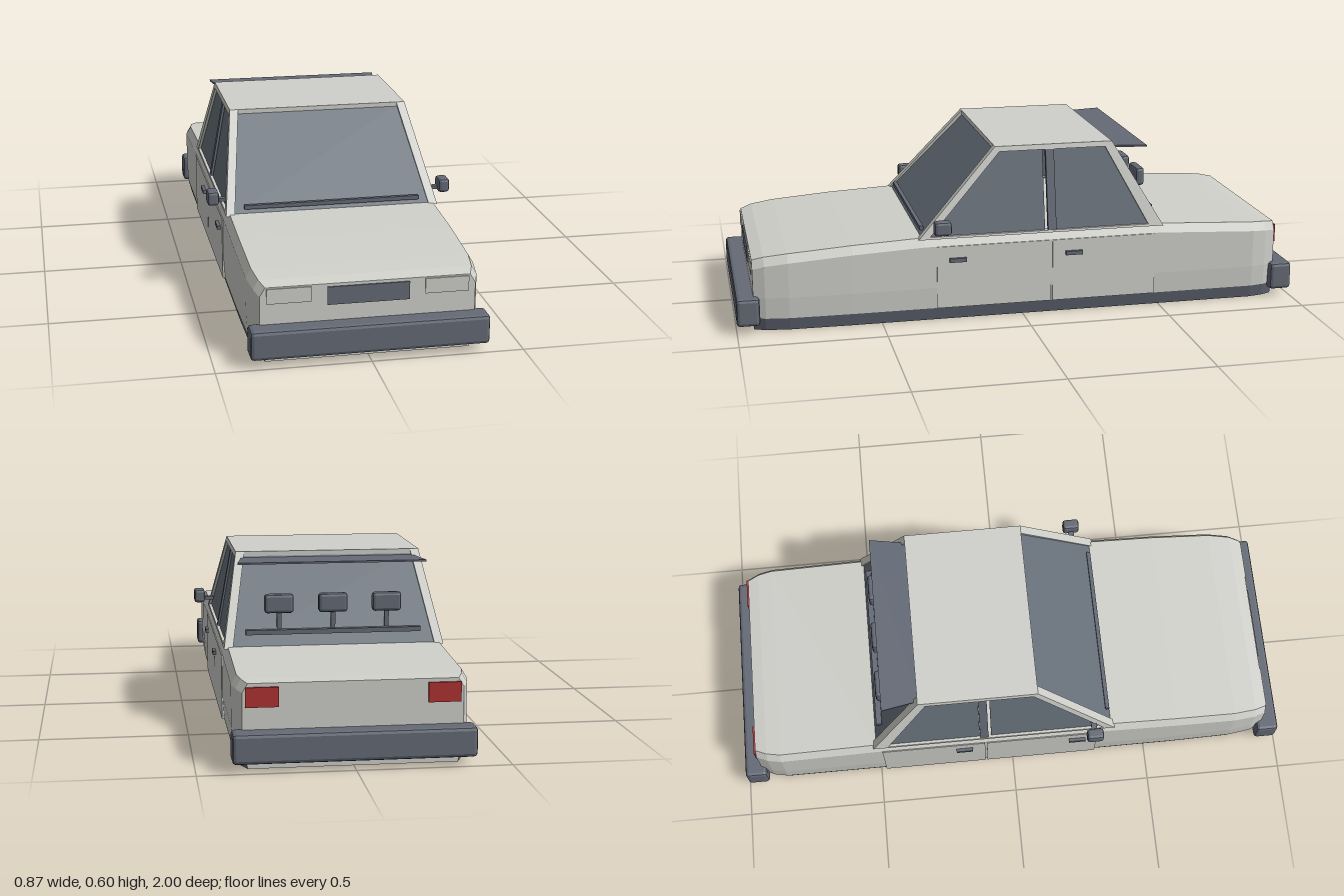
import * as THREE from 'three';
import { RoundedBoxGeometry } from 'three/addons/geometries/RoundedBoxGeometry.js';

const mat = (name, color, extra = {}) =>
  Object.assign(new THREE.MeshStandardMaterial({ color, flatShading: true, ...extra }), { name });

export function createModel() {
  const paint = mat('paint', 0xd0d0cb);
  const trim = mat('trim', 0x646a76);
  const glass = mat('glass', 0x68717b, { side: THREE.DoubleSide });
  const red = mat('tailRed', 0xb03232);
  const car = new THREE.Group();
  car.name = 'car';

  const add = (name, geo, material, x = 0, y = 0, z = 0) => {
    const m = new THREE.Mesh(geo, material);
    m.name = name;
    m.position.set(x, y, z);
    car.add(m);
    return m;
  };
  const box = (name, material, w, h, d, x, y, z) => add(name, new THREE.BoxGeometry(w, h, d), material, x, y, z);
  const chamfered = (name, material, w, h, d, x, y, z, r) =>
    add(name, new RoundedBoxGeometry(w, h, d, 1, r), material, x, y, z);
  const fromTriangles = (pts) => {
    const g = new THREE.BufferGeometry();
    g.setAttribute('position', new THREE.Float32BufferAttribute(pts.flat(), 3));
    g.computeVertexNormals();
    return g;
  };

  // Lower body: lofted stations [z, half width, top height]
  const stations = [
    [0.94, 0.35, 0.25], [0.9, 0.365, 0.262], [0.82, 0.376, 0.272], [0.6, 0.38, 0.288], [0.35, 0.38, 0.3],
    [-0.5, 0.38, 0.3], [-0.85, 0.38, 0.283], [-0.9, 0.37, 0.28], [-0.94, 0.352, 0.274],
  ];
  const rings = stations.map(([z, w, t]) => {
    const half = [[w - 0.017, 0], [w - 0.005, 0.045], [w, 0.12], [w, t - 0.03], [w - 0.018, t]];
    return [...half.map(([x, y]) => [x, y, z]), ...half.reverse().map(([x, y]) => [-x, y, z])];
  });
  const shell = [], sill = [];
  const n = rings[0].length;
  for (let i = 0; i < rings.length - 1; i++) {
    for (let j = 0; j < n; j++) {
      const k = (j + 1) % n;
      const [a, b, c, d] = [rings[i][j], rings[i][k], rings[i + 1][j], rings[i + 1][k]];
      (j === 0 || j === n - 2 ? sill : shell).push(a, c, b, b, c, d);
    }
  }
  const front = rings[0], back = rings[rings.length - 1];
  for (let j = 1; j < n - 1; j++) {
    shell.push(front[0], front[j], front[j + 1], back[0], back[j + 1], back[j]);
  }
  add('body', fromTriangles(shell), paint);
  add('sills', fromTriangles(sill), trim);

  // Cabin side panels: outline in (z, y), leaning inward with height
  const polygon = (pts, Type = THREE.Shape) => new Type(pts.map(([z, y]) => new THREE.Vector2(z, y)));
  const sidePanel = (name, shape, depth, inset, material) => {
    const g = new THREE.ExtrudeGeometry(shape, { depth, bevelEnabled: false });
    g.rotateY(-Math.PI / 2);
    const p = g.attributes.position;
    for (let i = 0; i < p.count; i++) p.setX(i, p.getX(i) + 0.375 - inset - (p.getY(i) - 0.3) * 0.183);
    g.computeVertexNormals();
    for (const s of [1, -1]) add((s > 0 ? 'left' : 'right') + name, g, material).scale.x = s;
  };
  const frame = polygon([[0.37, 0.295], [0.09, 0.6], [-0.33, 0.6], [-0.51, 0.295]]);
  frame.holes.push(polygon([[0.33, 0.303], [0.075, 0.582], [-0.305, 0.582], [-0.455, 0.303]], THREE.Path));
  sidePanel('CabinFrame', frame, 0.03, 0, paint);
  sidePanel('FrontWindow', polygon([[0.335, 0.3], [0.075, 0.585], [-0.08, 0.585], [-0.08, 0.3]]), 0.004, 0.01, glass);
  sidePanel('RearWindow', polygon([[-0.121, 0.3], [-0.121, 0.585], [-0.305, 0.585], [-0.458, 0.3]]), 0.004, 0.01, glass);
  sidePanel('DoorPillar', polygon([[-0.09, 0.3], [-0.09, 0.585], [-0.12, 0.585], [-0.12, 0.3]]), 0.015, 0.003, trim);

  // Roof, windscreen and rear window
  box('roof', paint, 0.634, 0.016, 0.42, 0, 0.592, -0.12);
  const slopedGlass = (name, zLow, zHigh) => {
    const [a, b, c, d] = [[-0.346, 0.298, zLow], [0.346, 0.298, zLow], [0.296, 0.59, zHigh], [-0.296, 0.59, zHigh]];
    add(name, fromTriangles(zLow > 0 ? [a, b, c, a, c, d] : [b, a, d, b, d, c]), glass);
  };
  slopedGlass('windscreen', 0.36, 0.082);
  slopedGlass('rearWindow', -0.5, -0.322);
  box('windscreenStrip', trim, 0.62, 0.014, 0.014, 0, 0.32, 0.35);
  box('rearWindowStrip', trim, 0.6, 0.016, 0.02, 0, 0.345, -0.48);

  // Roof spoiler, widening towards the rear
  const spoiler = new THREE.BoxGeometry(0.6, 0.006, 0.135);
  const sp = spoiler.attributes.position;
  for (let i = 0; i < sp.count; i++) if (sp.getZ(i) < 0) sp.setX(i, sp.getX(i) * 1.08);
  add('roofSpoiler', spoiler, trim, 0, 0.576, -0.39);

  // Small lamps across the rear window
  for (const x of [-0.185, 0, 0.185]) {
    chamfered('rearLamp', trim, 0.1, 0.065, 0.032, x, 0.44, -0.464, 0.01);
    box('rearLampStem', trim, 0.015, 0.07, 0.012, x, 0.385, -0.464);
  }

  // Bumpers
  for (const s of [1, -1]) {
    chamfered(s > 0 ? 'frontBumper' : 'rearBumper', trim, 0.776, 0.098, 0.08, 0, 0.077, s * 0.96, 0.012);
  }

  // Doors, handles, mirrors and lights, mirrored left to right
  for (const s of [1, -1]) {
    box('frontDoor', paint, 0.016, 0.222, 0.405, s * 0.3755, 0.158, 0.1055);
    box('rearDoor', paint, 0.016, 0.222, 0.375, s * 0.3755, 0.158, -0.2915);
    for (const z of [0.235, -0.18]) box('doorHandle', trim, 0.014, 0.014, 0.06, s * 0.388, 0.22, z);
    chamfered('mirror', trim, 0.04, 0.05, 0.06, s * 0.413, 0.345, 0.293, 0.01);
    box('mirrorArm', trim, 0.05, 0.012, 0.02, s * 0.378, 0.335, 0.293);
    box('headlight', paint, 0.143, 0.05, 0.006, s * 0.2565, 0.22, 0.941);
    box('tailLight', red, 0.105, 0.064, 0.009, s * 0.29, 0.23, -0.943);
  }
  box('grille', trim, 0.267, 0.06, 0.008, 0, 0.21, 0.941);

  return car;
}
